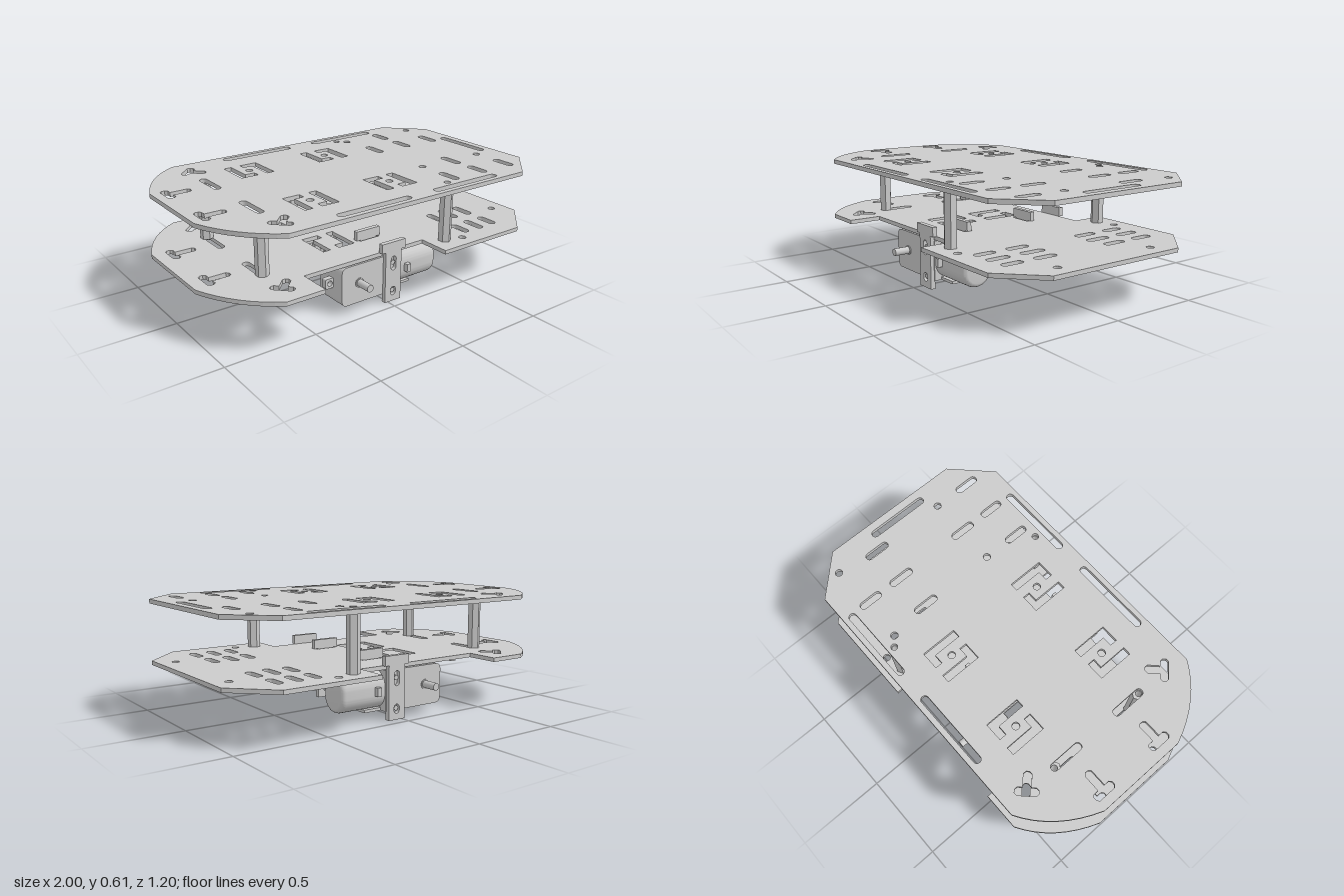
import * as THREE from 'three';
import { toCreasedNormals } from 'three/addons/utils/BufferGeometryUtils.js';

const material = new THREE.MeshStandardMaterial({ color: 0xcccccc });

function add(parent, name, geometry, x = 0, y = 0, z = 0) {
  const mesh = new THREE.Mesh(geometry, material);
  mesh.name = name;
  mesh.position.set(x, y, z);
  parent.add(mesh);
  return mesh;
}

const polygon = (pts) => new THREE.Path(pts.map(([x, y]) => new THREE.Vector2(x, y)));

// Rounded slot between two points
function slot(x1, y1, x2, y2, r = 0.021) {
  const a = Math.atan2(y2 - y1, x2 - x1);
  const p = new THREE.Path();
  p.absarc(x2, y2, r, a - Math.PI / 2, a + Math.PI / 2, false);
  p.absarc(x1, y1, r, a + Math.PI / 2, a + Math.PI * 1.5, false);
  p.closePath();
  return p;
}

function circle(x, y, r = 0.02) {
  return new THREE.Path().absarc(x, y, r, 0, Math.PI * 2, false);
}

// T-shaped cutout: a cross bar with a stem pointing along the angle
function teeSlot(x, z, angle, half, stem, s) {
  const r = 0.021, c = 0.012, ca = Math.cos(angle), sa = Math.sin(angle);
  const local = [[-r, -half + c], [-r + c, -half], [r - c, -half], [r, -half + c],
    [r, -r], [stem - c, -r], [stem, -r + c], [stem, r - c], [stem - c, r], [r, r],
    [r, half - c], [r - c, half], [-r + c, half], [-r, half - c]];
  return polygon(local.map(([u, v]) => [x + u * ca - v * sa, s * (z + u * sa + v * ca)]));
}

// Two facing L-shaped cutouts
function hookPair(x, z, s) {
  const L = [[0, 0], [0.1, 0], [0.1, 0.04], [0.045, 0.04], [0.045, 0.2], [0, 0.2]];
  return [
    polygon(L.map(([u, v]) => [x + u, s * (z + v)])),
    polygon(L.map(([u, v]) => [x + 0.2 - u, s * (z + 0.2 - v)])),
  ];
}

// Cutouts shared by both decks around the rounded end
function endCutouts(s) {
  return [
    teeSlot(-0.665, 0.472, -Math.PI * 0.75 + Math.PI / 2, 0.06, 0.1, s),
    teeSlot(-0.91, 0.187, 0, 0.06, 0.125, s),
    slot(-0.665, s * 0.135, -0.665, s * 0.288),
    slot(0.635, s * 0.165, 0.635, s * 0.265),
    slot(0.635, s * 0.375, 0.635, s * 0.465),
    circle(0.345, s * 0.49, 0.018),
  ];
}

// Deck outline: rounded at -x, chamfered at +x, optional side notches
function deckShape(left, notched) {
  const p = new THREE.Shape();
  const notch = [[0.25, 0.6], [0.25, 0.42], [-0.51, 0.42], [-0.51, 0.6]];
  p.moveTo(1, -0.4);
  p.lineTo(1, 0.4);
  p.lineTo(0.8, 0.6);
  if (notched) notch.forEach(([x, z]) => p.lineTo(x, z));
  p.lineTo(left + 0.28, 0.6);
  p.quadraticCurveTo(left + 0.09, 0.49, left, 0.25);
  p.lineTo(left, -0.25);
  p.quadraticCurveTo(left + 0.09, -0.49, left + 0.28, -0.6);
  if (notched) notch.reverse().forEach(([x, z]) => p.lineTo(x, -z));
  p.lineTo(0.8, -0.6);
  p.closePath();
  return p;
}

// Horizontal plate whose top lies at y = 0
function plate(shape, thickness) {
  return new THREE.ExtrudeGeometry(shape, { depth: thickness, bevelEnabled: false, curveSegments: 8 })
    .rotateX(Math.PI / 2);
}

// Stiffening ribs under a deck: one along the middle, others across
function addRibs(parent, top, height, x1, x2, crossRibs) {
  const y = top - height / 2;
  add(parent, 'centreRib', new THREE.BoxGeometry(x2 - x1, height, 0.035), (x1 + x2) / 2, y, 0);
  crossRibs.forEach(([x, half]) =>
    add(parent, 'crossRib', new THREE.BoxGeometry(0.035, height, half * 2), x, y, 0));
}

function createUpperDeck() {
  const deck = new THREE.Group();
  deck.name = 'upperDeck';
  const shape = deckShape(-0.98, false);
  for (const s of [-1, 1]) {
    shape.holes.push(...endCutouts(s),
      slot(-0.385, s * 0.55, 0.02, s * 0.55), slot(0.22, s * 0.55, 0.62, s * 0.55),
      ...hookPair(-0.485, 0.2, s), ...hookPair(0.015, 0.2, s),
      circle(-0.385, s * 0.295), circle(0.115, s * 0.295));
  }
  for (const x of [0.425, 0.845]) {
    shape.holes.push(slot(x, -0.265, x, -0.165), slot(x, 0.37, x, 0.465), circle(x, 0.21));
  }
  shape.holes.push(circle(0.395, -0.45), circle(0.875, -0.45), slot(0.935, -0.155, 0.935, 0.155));
  add(deck, 'upperPlate', plate(shape, 0.023), 0, 0.612, 0);
  addRibs(deck, 0.589, 0.019, -0.86, 0.845, [[-0.505, 0.4], [-0.075, 0.4], [0.535, 0.3]]);
  return deck;
}

function createLowerDeck() {
  const deck = new THREE.Group();
  deck.name = 'lowerDeck';
  const shape = deckShape(-1, true);
  for (const s of [-1, 1]) {
    shape.holes.push(...endCutouts(s), ...hookPair(-0.27, 0.04, s),
      polygon([[-0.03, s * 0.19], [0.1, s * 0.19], [0.1, s * 0.24], [-0.03, s * 0.24]]),
      slot(0.53, s * 0.18, 0.53, s * 0.27), slot(0.74, s * 0.18, 0.74, s * 0.27),
      slot(0.74, s * 0.38, 0.74, s * 0.46), slot(0.53, s * 0.38, 0.53, s * 0.46),
      circle(0.91, s * 0.3), circle(0.45, s * 0.52));
  }
  add(deck, 'lowerPlate', plate(shape, 0.022), 0, 0.287, 0);
  addRibs(deck, 0.265, 0.025, -0.91, 0.565, [[-0.45, 0.35], [0.39, 0.35]]);
  return deck;
}

// Hexagonal spacer with a bore
function createPost() {
  const hex = new THREE.Shape();
  for (let i = 0; i < 6; i++) {
    const a = (i * Math.PI) / 3 + Math.PI / 2;
    hex[i ? 'lineTo' : 'moveTo'](0.035 * Math.cos(a), 0.035 * Math.sin(a));
  }
  hex.closePath();
  hex.holes.push(circle(0, 0, 0.016));
  return plate(hex, 0.302);
}

function roundedRect(w, h, r) {
  const s = new THREE.Shape(), x = w / 2 - r, y = h / 2 - r;
  s.absarc(x, y, r, 0, Math.PI / 2, false);
  s.absarc(-x, y, r, Math.PI / 2, Math.PI, false);
  s.absarc(-x, -y, r, Math.PI, Math.PI * 1.5, false);
  s.absarc(x, -y, r, Math.PI * 1.5, Math.PI * 2, false);
  s.closePath();
  return s;
}

// Geared motor with its T-shaped mounting brackets, centred on z = 0
function createMotor() {
  const motor = new THREE.Group();
  const box = new THREE.Shape();
  box.moveTo(0.09, 0.045);
  box.lineTo(0.09, 0.26);
  box.lineTo(-0.25, 0.26);
  box.quadraticCurveTo(-0.285, 0.26, -0.285, 0.225);
  box.lineTo(-0.285, 0.08);
  box.quadraticCurveTo(-0.285, 0.045, -0.25, 0.045);
  box.closePath();
  add(motor, 'gearbox', new THREE.ExtrudeGeometry(box, { depth: 0.19, bevelEnabled: false }), 0, 0, -0.1);

  const can = new THREE.ExtrudeGeometry(roundedRect(0.125, 0.155, 0.06), {
    depth: 0.245, bevelThickness: 0.025, bevelSize: 0.022, bevelSegments: 4, curveSegments: 10 });
  can.rotateY(Math.PI / 2);
  add(motor, 'motorCan', toCreasedNormals(can, 0.7), 0.085, 0.157, 0);
  add(motor, 'motorClip', new THREE.BoxGeometry(0.11, 0.015, 0.1), 0.14, 0.053, 0);
  add(motor, 'clipNub', new THREE.BoxGeometry(0.025, 0.045, 0.22), 0.143, 0.158, 0);

  const tab = roundedRect(0.05, 0.055, 0.008);
  tab.holes.push(circle(0.002, 0, 0.015));
  add(motor, 'gearboxTab', new THREE.ExtrudeGeometry(tab, { depth: 0.03, bevelEnabled: false }), -0.308, 0.158, -0.015);
  add(motor, 'axle', new THREE.CylinderGeometry(0.02, 0.02, 0.385, 20).rotateX(Math.PI / 2), -0.175, 0.157, -0.012);
  add(motor, 'axleCollar', new THREE.CylinderGeometry(0.026, 0.026, 0.2, 20).rotateX(Math.PI / 2), -0.175, 0.157, -0.005);

  const tee = new THREE.Shape(polygon([[-0.02, 0], [0.085, 0], [0.085, 0.287], [0.11, 0.287], [0.11, 0.338],
    [-0.045, 0.338], [-0.045, 0.287], [-0.02, 0.287]]).getPoints());
  tee.holes.push(slot(0.033, 0.195, 0.033, 0.24, 0.017), slot(0.033, 0.05, 0.033, 0.065, 0.017));
  const bracket = new THREE.ExtrudeGeometry(tee, { depth: 0.026, bevelEnabled: false });
  add(motor, 'outerBracket', bracket, 0, 0, 0.085);
  add(motor, 'innerBracket', bracket, 0, 0, -0.13);
  for (const y of [0.06, 0.22]) {
    add(motor, 'bracketBolt', new THREE.CylinderGeometry(0.013, 0.013, 0.23, 12).rotateX(Math.PI / 2), 0.033, y, -0.01);
  }
  return motor;
}

export function createModel() {
  const model = new THREE.Group();
  model.name = 'robotChassis';
  model.add(createUpperDeck(), createLowerDeck());

  const post = createPost();
  for (const s of [-1, 1]) {
    add(model, 'rearPost', post, -0.665, 0.589, s * 0.29);
    add(model, 'frontPost', post, 0.345, 0.589, s * 0.49);
    // Motors mirrored across the middle by scaling in z
    const motor = createMotor();
    motor.name = s > 0 ? 'frontSideMotor' : 'backSideMotor';
    motor.position.z = s * 0.333;
    motor.scale.z = s;
    model.add(motor);
  }
  return model;
}
